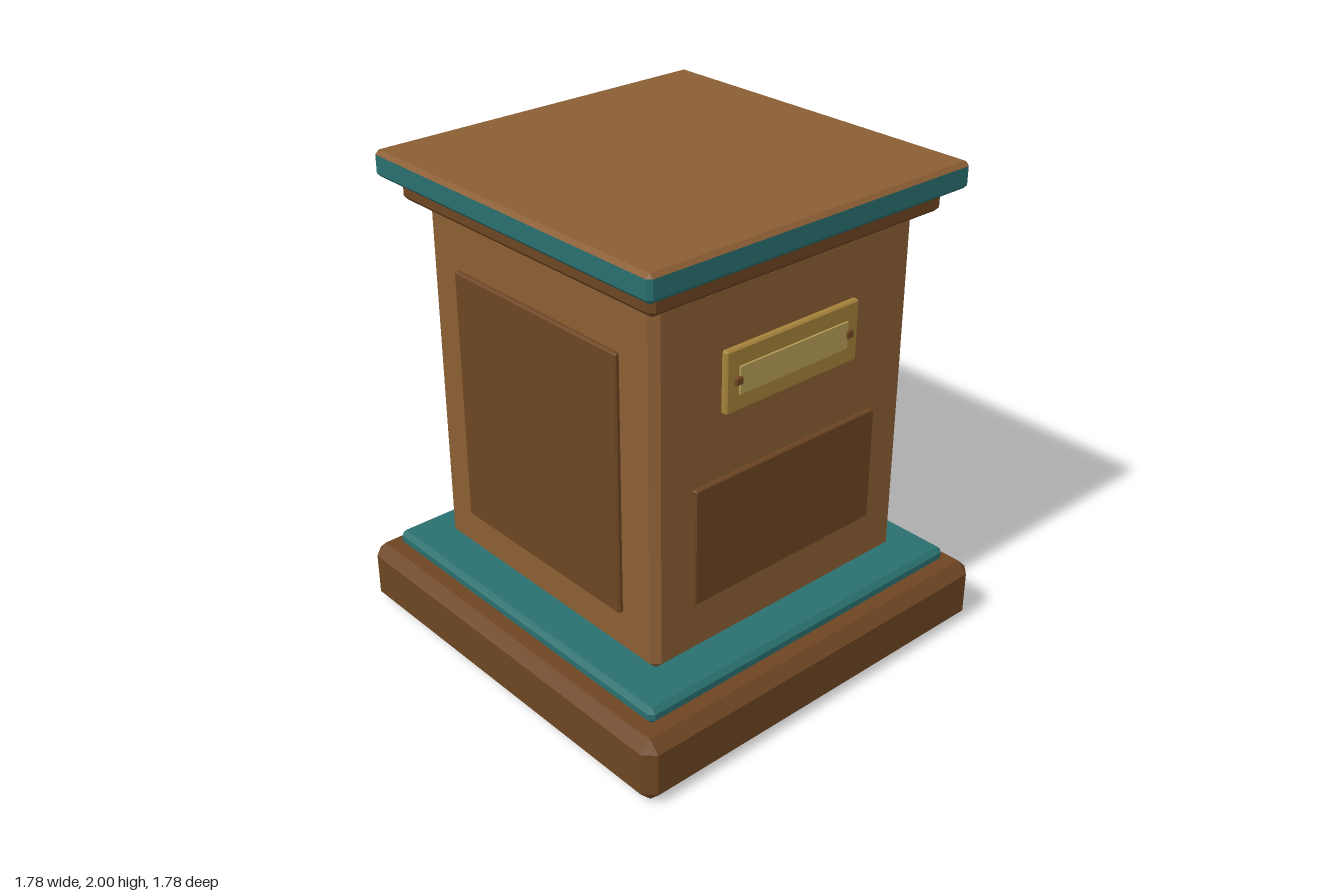
import * as THREE from 'three';
import { ConvexGeometry } from 'three/addons/geometries/ConvexGeometry.js';

const mat = (name, color) => {
  const m = new THREE.MeshStandardMaterial({ color });
  m.name = name;
  return m;
};

// Solid stacked from rectangular sections [y, halfX, halfZ, corner cut]
function stack(sections) {
  const points = [];
  for (const [y, hx, hz, cut] of sections) {
    for (const sx of [-1, 1]) for (const sz of [-1, 1]) {
      points.push(new THREE.Vector3(sx * (hx - cut), y, sz * hz));
      if (cut) points.push(new THREE.Vector3(sx * hx, y, sz * (hz - cut)));
    }
  }
  return new ConvexGeometry(points);
}

// Box with every edge chamfered by c, from y0 to y1
const chamferBox = (y0, y1, hx, hz, c) => stack([
  [y0, hx - c, hz - c, 0],
  [y0 + c, hx, hz, c],
  [y1 - c, hx, hz, c],
  [y1, hx - c, hz - c, 0],
]);

export function createModel() {
  const group = new THREE.Group();
  group.name = 'pedestal';
  const wood = mat('wood', 0x8b5e34);
  const darkWood = mat('darkWood', 0x6d4522);
  const teal = mat('teal', 0x2a6f6f);
  const brass = mat('brass', 0xa5823a);
  const paleBrass = mat('paleBrass', 0xb8a058);

  const add = (name, geometry, material, parent = group) => {
    const mesh = new THREE.Mesh(geometry, material);
    mesh.name = name;
    parent.add(mesh);
    return mesh;
  };

  // Stacked body, bottom to top
  add('base', chamferBox(0, 0.27, 0.888, 0.888, 0.045), darkWood);
  add('lowerTrim', chamferBox(0.27, 0.336, 0.798, 0.798, 0.02), teal);
  add('body', chamferBox(0.336, 1.805, 0.643, 0.643, 0.031), wood);
  add('neck', chamferBox(1.805, 1.895, 0.711, 0.711, 0.02), darkWood);
  add('capTrim', stack([
    [1.895, 0.76, 0.76, 0], [1.911, 0.776, 0.776, 0.016], [1.984, 0.776, 0.776, 0.016],
  ]), teal);
  add('capTop', stack([[1.984, 0.776, 0.776, 0.016], [2, 0.76, 0.76, 0]]), wood);

  // Plate on a side wall; out is its outer distance, u its sideways offset
  const plate = (name, turn, u, y0, y1, halfW, out, c, material) => {
    const holder = new THREE.Group();
    holder.name = name + 'Holder';
    holder.rotation.y = turn;
    const geometry = chamferBox(0.62, out, halfW, (y1 - y0) / 2, c);
    geometry.rotateX(Math.PI / 2);
    geometry.translate(u, (y0 + y1) / 2, 0);
    add(name, geometry, material, holder);
    group.add(holder);
  };

  // Tall panels on front, back and left; short panel on the plaque side
  const plaqueSide = Math.PI / 2;
  plate('frontPanel', 0, 0, 0.515, 1.58, 0.465, 0.662, 0.007, darkWood);
  plate('backPanel', Math.PI, 0, 0.515, 1.58, 0.465, 0.662, 0.007, darkWood);
  plate('outerPanel', -Math.PI / 2, 0, 0.515, 1.58, 0.465, 0.662, 0.007, darkWood);
  plate('shortPanel', plaqueSide, 0, 0.56, 1.048, 0.465, 0.66, 0.007, darkWood);

  // Brass plaque with its label and two screws
  plate('plaque', plaqueSide, 0, 1.303, 1.55, 0.332, 0.667, 0.007, brass);
  plate('label', plaqueSide, 0, 1.37, 1.48, 0.272, 0.674, 0.001, paleBrass);
  for (const s of [-1, 1]) {
    plate('screw', plaqueSide, s * 0.279, 1.413, 1.443, 0.016, 0.682, 0.003, darkWood);
  }
  return group;
}
